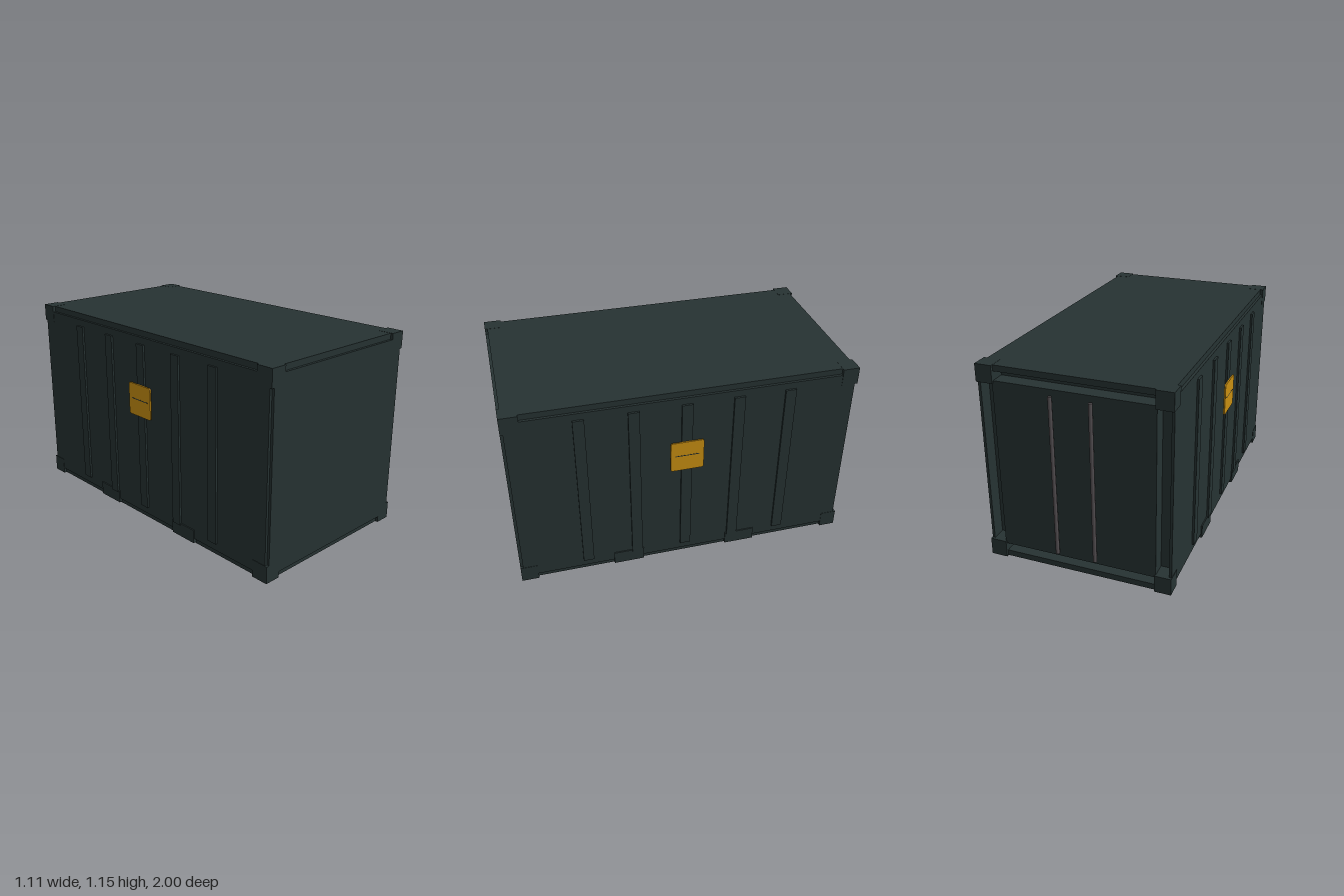
import * as THREE from 'three';

export function createModel() {
  const root = new THREE.Group();
  const mat = (name, color) => {
    const m = new THREE.MeshStandardMaterial({ color });
    m.name = name;
    return m;
  };
  const steel = mat('dark green steel', 0x263232);
  const orange = mat('orange', 0xc88e12);
  const grey = mat('grey metal', 0x524d50);

  // box given by its min and max corners
  const box = (name, x0, x1, y0, y1, z0, z1, material = steel) => {
    const mesh = new THREE.Mesh(new THREE.BoxGeometry(x1 - x0, y1 - y0, z1 - z0), material);
    mesh.position.set((x0 + x1) / 2, (y0 + y1) / 2, (z0 + z1) / 2);
    mesh.name = name;
    root.add(mesh);
    return mesh;
  };
  // the same box on the left and right sides
  const pair = (name, x0, x1, ...rest) => {
    box(name + 'Left', x0, x1, ...rest);
    box(name + 'Right', -x1, -x0, ...rest);
  };

  const W = 0.535, H = 1.155, F = 1, B = -0.975;
  const rail = 0.035, inset = 0.017;
  const mid = (F + B) / 2;

  // cargo body, its edges stepped in between the corner blocks
  box('frontWall', -W + inset, W - inset, rail, H - rail, -0.88, F);
  pair('sideWall', W - inset, W - 0.002, rail, H - rail, B + 0.015, F - 0.015);
  box('roof', -W + inset, W - inset, H - rail, H - 0.001, B + 0.015, F - 0.015);
  box('floor', -W + inset, W - inset, 0.001, rail, B + 0.015, F - 0.015);

  // corner blocks
  for (const [y0, y1] of [[0, 0.1], [H - 0.1, H]]) {
    pair('cornerBlock', W - 0.095, W, y0, y1, F - 0.1, F);
    pair('cornerBlock', W - 0.095, W, y0, y1, B, B + 0.095);
  }

  // rear door and its locking rods
  box('rearDoor', -0.446, 0.446, 0.085, 1.07, -0.965, -0.87);
  for (const x of [-0.11, 0.11]) {
    const rod = new THREE.Mesh(new THREE.CylinderGeometry(0.011, 0.011, 0.925, 12), grey);
    rod.position.set(x, 0.578, -0.988);
    rod.name = 'lockingRod';
    root.add(rod);
  }

  // side ribs
  for (let i = -2; i <= 2; i++) {
    const z = mid + i * 0.294;
    pair('sideRib', W - 0.01, 0.545, 0.08, 1.08, z - 0.031, z + 0.031);
  }

  // forklift pocket plates
  for (const s of [-1, 1]) {
    const z = mid + s * 0.345;
    pair('forkPocket', W - 0.03, 0.54, 0.01, 0.09, z - 0.09, z + 0.09);
  }

  // orange side plates with rounded corners and a dark slot
  const r = 0.012, h = 0.095;
  const shape = new THREE.Shape();
  shape.absarc(h - r, h - r, r, 0, Math.PI / 2);
  shape.absarc(-h + r, h - r, r, Math.PI / 2, Math.PI);
  shape.absarc(-h + r, -h + r, r, Math.PI, Math.PI * 1.5);
  shape.absarc(h - r, -h + r, r, Math.PI * 1.5, Math.PI * 2);
  const plateGeo = new THREE.ExtrudeGeometry(shape, { depth: 0.009, bevelEnabled: false, curveSegments: 4 });
  for (const s of [-1, 1]) {
    const plate = new THREE.Mesh(plateGeo, orange);
    plate.rotation.y = s * Math.PI / 2;
    plate.position.set(s * 0.5455, 0.75, mid);
    plate.name = 'sidePlate';
    root.add(plate);
  }
  pair('plateSlot', 0.55, 0.555, 0.752, 0.757, mid - 0.07, mid + 0.07);

  return root;
}
